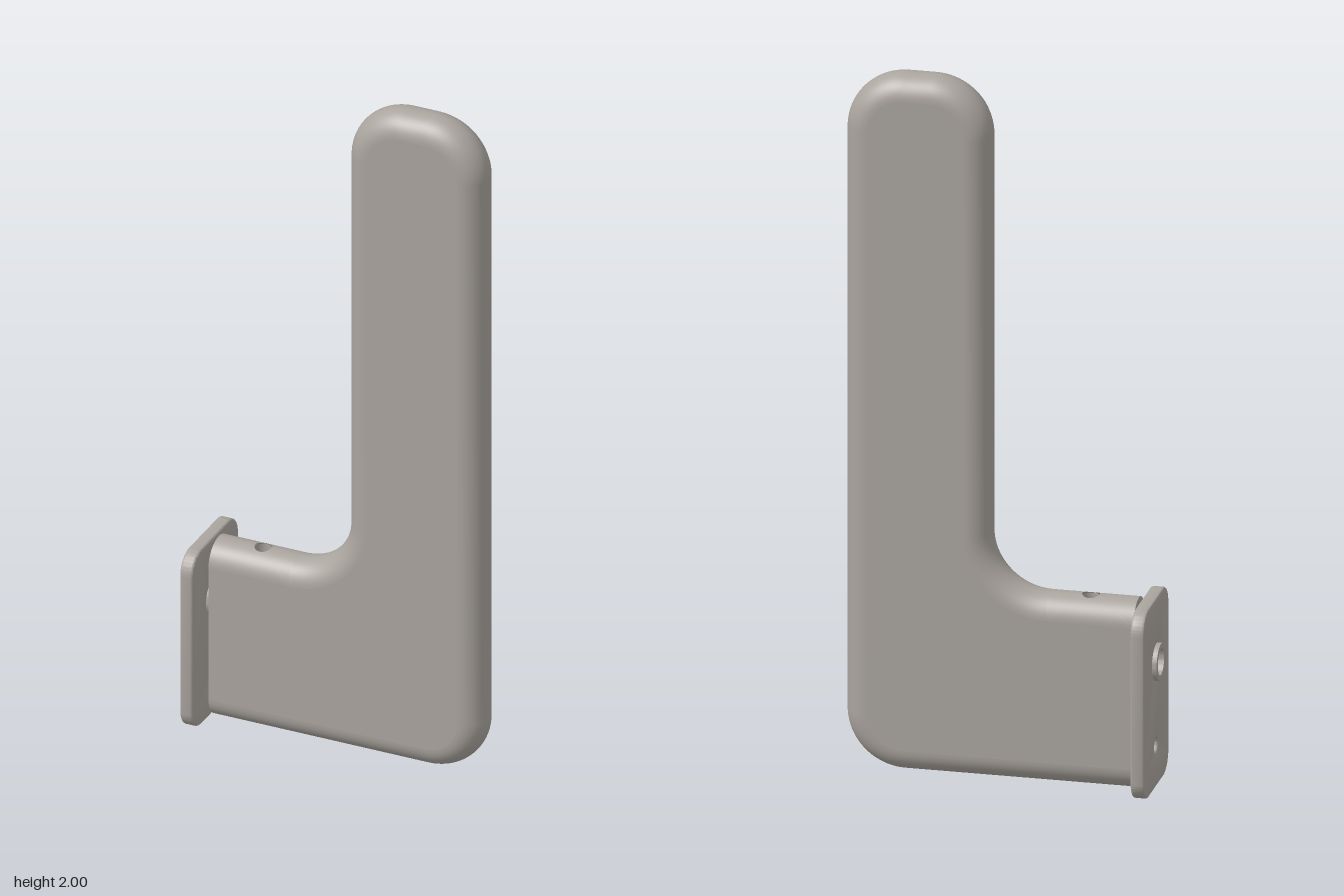
import * as THREE from 'three';
import { toCreasedNormals } from 'three/addons/utils/BufferGeometryUtils.js';

const R = 0.066;                 // half thickness, also the edge rounding
const X0 = -0.373, X1 = 0.434;   // body ends
const TOP = 0.54;                // height of the short arm
const HOLE_X = -0.24, HOLE_R = 0.024;
const BORE_Y = 0.36, BORE_R = 0.037;

// Smooth surface from a rule fn(i, j) -> [x, y, z]
function gridGeometry(nu, nv, fn) {
  const pos = [], index = [];
  for (let i = 0; i <= nu; i++) {
    for (let j = 0; j <= nv; j++) {
      pos.push(...fn(i, j));
      if (i < nu && j < nv) {
        const a = i * (nv + 1) + j, b = a + nv + 1;
        index.push(a, b, b + 1, a, b + 1, a + 1);
      }
    }
  }
  const g = new THREE.BufferGeometry();
  g.setAttribute('position', new THREE.Float32BufferAttribute(pos, 3));
  g.setIndex(index);
  g.computeVertexNormals();
  return g;
}

// L outline moved inwards by d, counter-clockwise from the lower mounting end
function outline(d) {
  const pts = [new THREE.Vector2(X0, d)];
  const arc = (cx, cy, r, a0, a1) => {
    for (let k = 0; k <= 20; k++) {
      const a = (a0 + (a1 - a0) * k / 20) * Math.PI / 2;
      pts.push(new THREE.Vector2(cx + r * Math.cos(a), cy + r * Math.sin(a)));
    }
  };
  const c = 0.165;
  arc(X1 - c, c, c - d, -1, 0);
  arc(X1 - c, 2 - c, c - d, 0, 1);
  arc(0.03 + c, 2 - c, c - d, 1, 2);
  arc(-0.13, TOP + 0.16, 0.16 + d, 0, -1);
  return pts;
}

function roundedRect(w, h, r) {
  const s = new THREE.Shape();
  s.absarc(w / 2 - r, r, r, -Math.PI / 2, 0);
  s.absarc(w / 2 - r, h - r, r, 0, Math.PI / 2);
  s.absarc(r - w / 2, h - r, r, Math.PI / 2, Math.PI);
  s.absarc(r - w / 2, r, r, Math.PI, Math.PI * 1.5);
  s.closePath();
  return s;
}

function circleHole(y, r) {
  return new THREE.Path().absarc(0, y, r, 0, Math.PI * 2, true);
}

export function createModel() {
  const group = new THREE.Group();
  const metal = new THREE.MeshStandardMaterial({ color: 0xaaa49e, side: THREE.DoubleSide });
  metal.name = 'warm grey metal';
  const add = (name, geometry) => {
    const m = new THREE.Mesh(geometry, metal);
    m.name = name;
    group.add(m);
    return m;
  };

  // Fully rounded rim around the body
  const NV = 24;
  const loops = [], heights = [];
  for (let j = 0; j <= NV; j++) {
    const a = (j / NV - 0.5) * Math.PI;
    loops.push(outline(R * (1 - Math.cos(a))));
    heights.push(R * Math.sin(a));
  }
  add('bodyRim', gridGeometry(loops[0].length - 1, NV,
    (i, j) => [loops[j][i].x, loops[j][i].y, heights[j]]));

  // Rounded top of the short arm, spread from the drilled hole to its borders
  const n = 24, S = R * Math.PI / 2;
  const xa = X0 - HOLE_X, xb = -0.13 - HOLE_X;
  const corners = [[xb, -S], [xb, S], [xa, S], [xa, -S]];
  add('armTop', gridGeometry(4 * n, 12, (i, j) => {
    const k = Math.floor(i / n) % 4, t = (i % n) / n;
    const p = corners[k], q = corners[(k + 1) % 4];
    const bx = p[0] + (q[0] - p[0]) * t, bs = p[1] + (q[1] - p[1]) * t;
    const a = Math.atan2(bs, bx);
    const hx = HOLE_R * Math.cos(a), hs = R * Math.asin(HOLE_R * Math.sin(a) / R);
    const f = j / 12;
    const x = hx + (bx - hx) * f, s = (hs + (bs - hs) * f) / R;
    return [HOLE_X + x, TOP - R + R * Math.cos(s), R * Math.sin(s)];
  }));

  // Flat faces
  const face = [...outline(R), new THREE.Vector2(X0, TOP - R)];
  add('bodyFront', new THREE.ShapeGeometry(new THREE.Shape(face)).translate(0, 0, R));
  const mirrored = face.map(p => new THREE.Vector2(-p.x, p.y));
  add('bodyBack', new THREE.ShapeGeometry(new THREE.Shape(mirrored))
    .rotateY(Math.PI).translate(0, 0, -R));

  // Flat mounting end of the body
  const end = roundedRect(2 * R, TOP, R - 0.0001);
  end.holes.push(circleHole(BORE_Y, BORE_R));
  add('bodyEnd', new THREE.ShapeGeometry(end, 24).rotateY(-Math.PI / 2).translate(X0, 0, 0));

  // Wall of the hole drilled down into the bore
  const wall = new THREE.CylinderGeometry(HOLE_R, HOLE_R, TOP - 0.005 - BORE_Y, 32, 1, true);
  add('drilledHole', wall.translate(HOLE_X, (TOP - 0.005 + BORE_Y) / 2, 0));

  // Mounting plate with bore and small screw hole
  const plate = roundedRect(0.294, TOP, 0.06);
  plate.holes.push(circleHole(BORE_Y, 0.045), circleHole(0.12, 0.02));
  const bevel = 0.006, thick = 0.038;
  add('mountingPlate', toCreasedNormals(new THREE.ExtrudeGeometry(plate, {
    depth: thick - 2 * bevel, bevelThickness: bevel, bevelSize: bevel,
    bevelOffset: -bevel, bevelSegments: 3, curveSegments: 16,
  }).rotateY(-Math.PI / 2).translate(-0.383 - bevel, 0, 0), 0.6));

  // Hollow bushing through the plate, with a collar against the body
  const profile = [[0.06, 0.373], [0.06, 0.383], [0.052, 0.383], [0.052, 0.434],
    [BORE_R, 0.434], [BORE_R, 0.2], [0, 0.2]].map(p => new THREE.Vector2(...p));
  add('bushing', toCreasedNormals(new THREE.LatheGeometry(profile, 40)
    .rotateZ(Math.PI / 2).translate(0, BORE_Y, 0), 0.6));

  return group;
}
